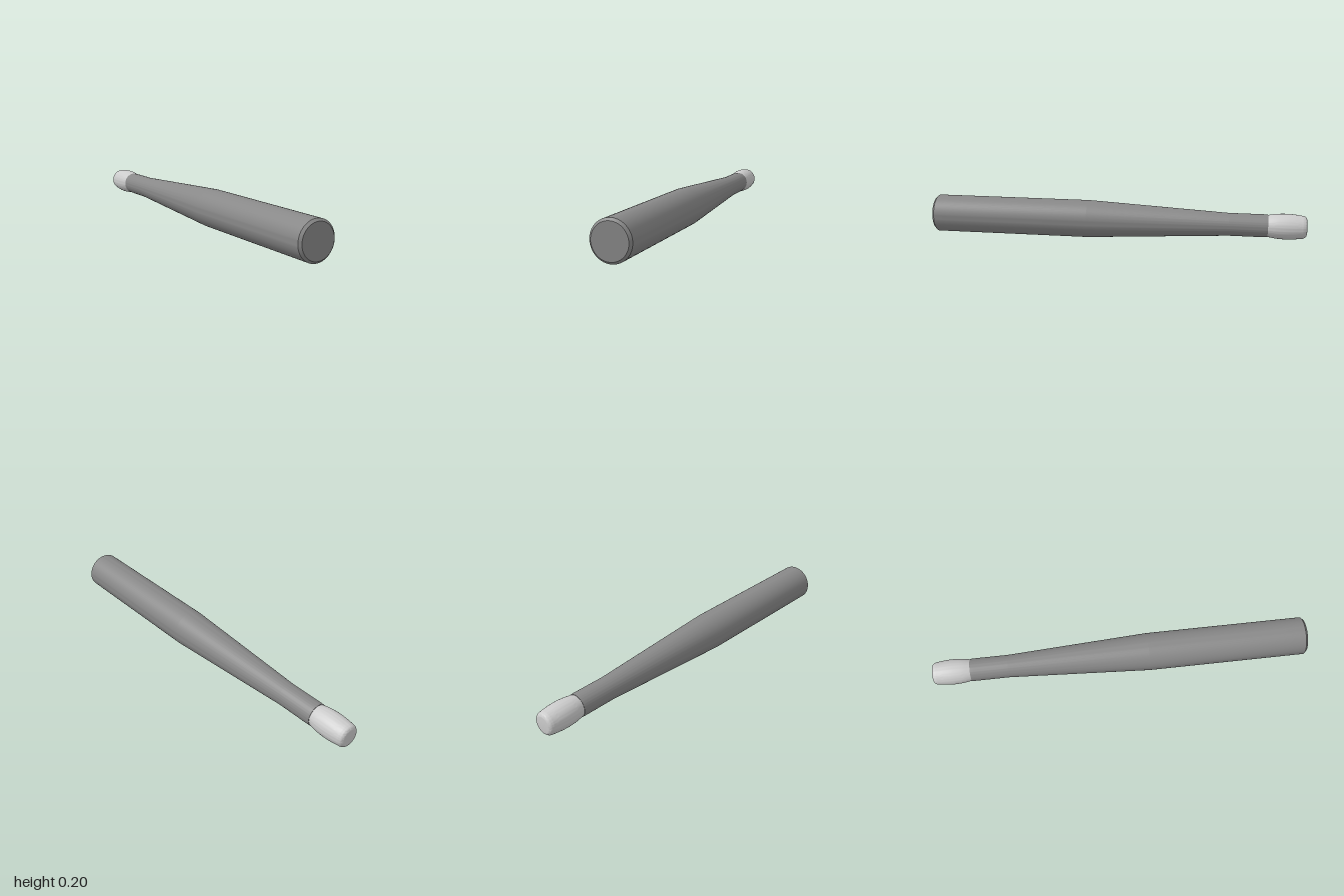
import * as THREE from 'three';
import { toCreasedNormals } from 'three/addons/utils/BufferGeometryUtils.js';

// Turned part along z, from [radius, z] pairs running back to front
function turned(name, profile, color, crease) {
  const points = profile.map(([r, z]) => new THREE.Vector2(r, z));
  const lathe = new THREE.LatheGeometry(points, 64).rotateX(Math.PI / 2);
  const mesh = new THREE.Mesh(
    toCreasedNormals(lathe, crease),
    new THREE.MeshStandardMaterial({ color })
  );
  mesh.name = name;
  mesh.position.y = 0.1;
  return mesh;
}

export function createModel() {
  const group = new THREE.Group();
  group.name = 'taperedStick';

  // Handle: straight grip with chamfered butt, long taper, slim neck
  group.add(turned('handle', [
    [0, -0.8], [0.059, -0.8], [0.06, -0.78], [0.06, -0.6],
    [0.1, 0.15], [0.1, 0.988], [0.088, 1], [0, 1],
  ], 0x888888, 0.5));

  // Tip: slightly bulging barrel with a rounded end
  const bulge = new THREE.SplineCurve([
    [0.06, -0.975], [0.065, -0.935], [0.067, -0.89], [0.064, -0.84], [0.057, -0.8],
  ].map(([r, z]) => new THREE.Vector2(r, z))).getPoints(16).map((p) => [p.x, p.y]);
  const round = [];
  for (let i = 0; i < 6; i++) {
    const a = (i / 6) * Math.PI / 2;
    round.push([0.04 + 0.02 * Math.sin(a), -0.975 - 0.025 * Math.cos(a)]);
  }
  group.add(turned('tip', [[0, -1], ...round, ...bulge, [0, -0.8]], 0xcccccc, 0.7));

  return group;
}
